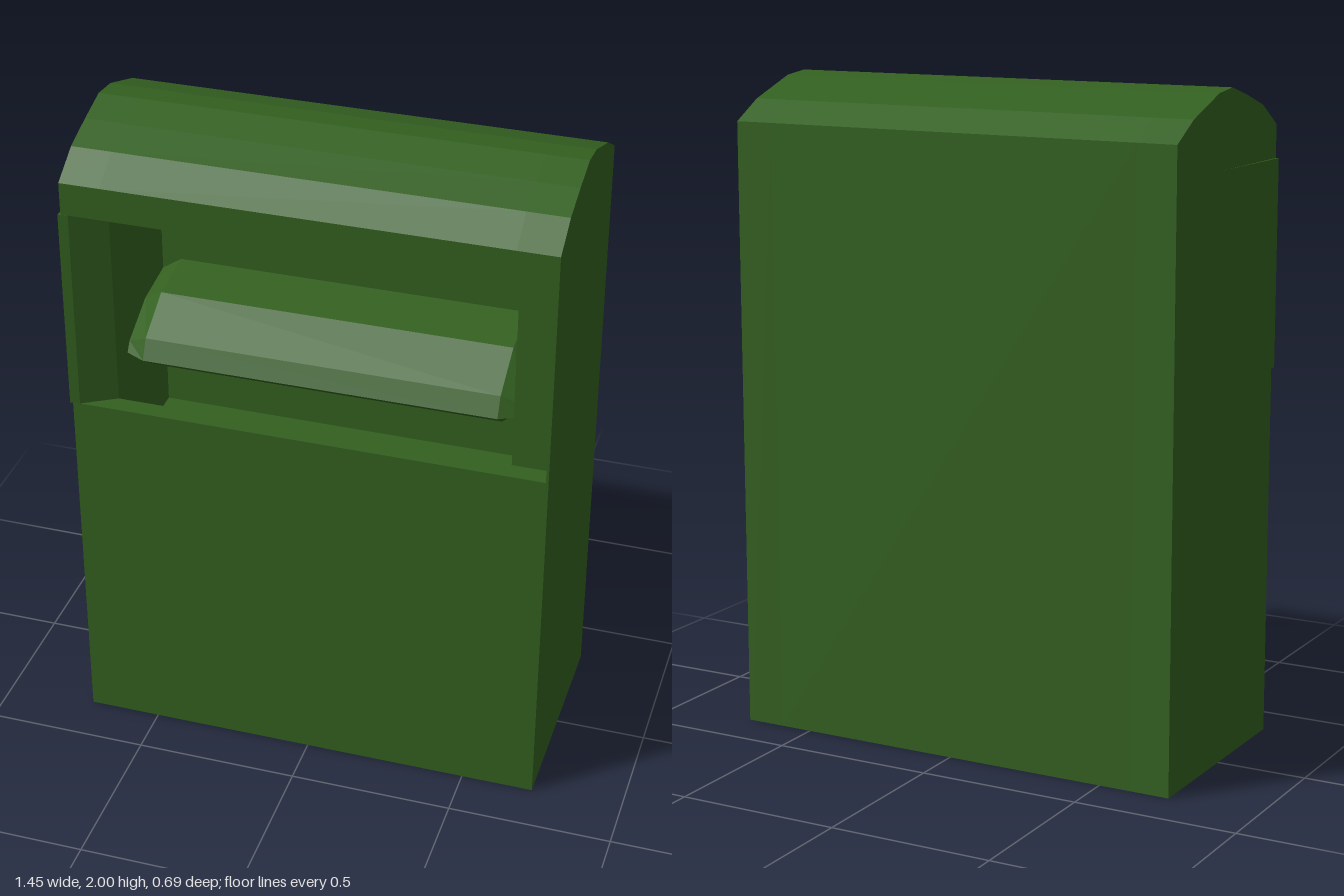
import * as THREE from 'three';

const green = new THREE.MeshStandardMaterial({ color: 0x336020, flatShading: true });

const W = 0.722;      // half width of the cabinet
const F = 0.345;      // front face depth
const JAMB = 0.6;     // half width of the opening
const INSET = 0.285;  // depth of the frame around the opening
const BACK = -0.115;  // rear wall of the opening
const LOW = 1.14, HIGH = 1.77;

// Faceted roof, listed from back to front as [z, y]
const roof = [[-F, 1.87], [-0.24, 1.93], [-0.07, 1.99], [0.02, 2], [0.13, 1.97], [0.24, 1.935], [F, 1.87]];

// Side profile of the cabinet with an optional notch in the front edge
function profile(notch) {
  return [[F, 0], [-F, 0], ...roof, ...notch];
}

// Extrudes a [z, y] outline along x
function slice(name, points, x0, x1) {
  const shape = new THREE.Shape(points.map(([z, y]) => new THREE.Vector2(-z, y)));
  const geo = new THREE.ExtrudeGeometry(shape, { depth: x1 - x0, bevelEnabled: false });
  geo.rotateY(Math.PI / 2).translate(x0, 0, 0);
  const mesh = new THREE.Mesh(geo, green);
  mesh.name = name;
  return mesh;
}

// Joins cross-sections { x, pts: [z, y] } into a faceted skin
function loft(sections) {
  const pos = [];
  const n = sections[0].pts.length;
  for (let s = 0; s < sections.length - 1; s++) {
    for (let i = 0; i < n; i++) {
      const at = (sec, k) => [sec.x, sec.pts[k % n][1], sec.pts[k % n][0]];
      const a = at(sections[s], i), b = at(sections[s], i + 1);
      const c = at(sections[s + 1], i + 1), d = at(sections[s + 1], i);
      pos.push(...a, ...b, ...c, ...a, ...c, ...d);
    }
  }
  const geo = new THREE.BufferGeometry();
  geo.setAttribute('position', new THREE.Float32BufferAttribute(pos, 3));
  geo.computeVertexNormals();
  return geo;
}

export function createModel() {
  const model = new THREE.Group();
  model.name = 'dropBox';

  // Cabinet: hollow middle, shallow-framed jambs and thin outer sides
  const hollow = [[F, HIGH], [BACK, HIGH], [BACK, 0.9], [INSET, 0.9], [INSET, LOW], [F, LOW]];
  const frame = [[F, HIGH], [INSET, HIGH], [INSET, LOW], [F, LOW]];
  const skin = W - 0.008;
  model.add(slice('cabinetMiddle', profile(hollow), -JAMB, JAMB));
  model.add(slice('leftJamb', profile(frame), JAMB, skin));
  model.add(slice('rightJamb', profile(frame), -skin, -JAMB));
  model.add(slice('leftSide', profile([]), skin, W));
  model.add(slice('rightSide', profile([]), -W, -skin));

  // Slanted cheek that slightly breaks through the right side
  const plan = [[-JAMB, INSET], [-0.7, F], [-0.73, 0.348], [-0.719, -0.2], [-0.66, -0.2], [-0.65, 0.2]];
  const cheekShape = new THREE.Shape(plan.map(([x, z]) => new THREE.Vector2(x, -z)));
  const cheekGeo = new THREE.ExtrudeGeometry(cheekShape, { depth: HIGH - LOW, bevelEnabled: false });
  cheekGeo.rotateX(-Math.PI / 2).translate(0, LOW, 0);
  const cheek = new THREE.Mesh(cheekGeo, green);
  cheek.name = 'rightCheek';
  model.add(cheek);

  // Deposit flap: convex chute with chamfered ends
  const full = [[BACK, 1.41], [0.06, 1.39], [0.2, 1.31], [0.23, 1.25], [0.17, 1.205], [BACK, 1.205]];
  const ends = [[BACK, 1.37], [0.04, 1.35], [0.18, 1.28], [0.2, 1.25], [0.15, 1.245], [BACK, 1.245]];
  const flap = new THREE.Mesh(loft([
    { x: -JAMB, pts: ends }, { x: -0.54, pts: full },
    { x: 0.54, pts: full }, { x: JAMB, pts: ends },
  ]), green);
  flap.name = 'depositFlap';
  model.add(flap);

  return model;
}
